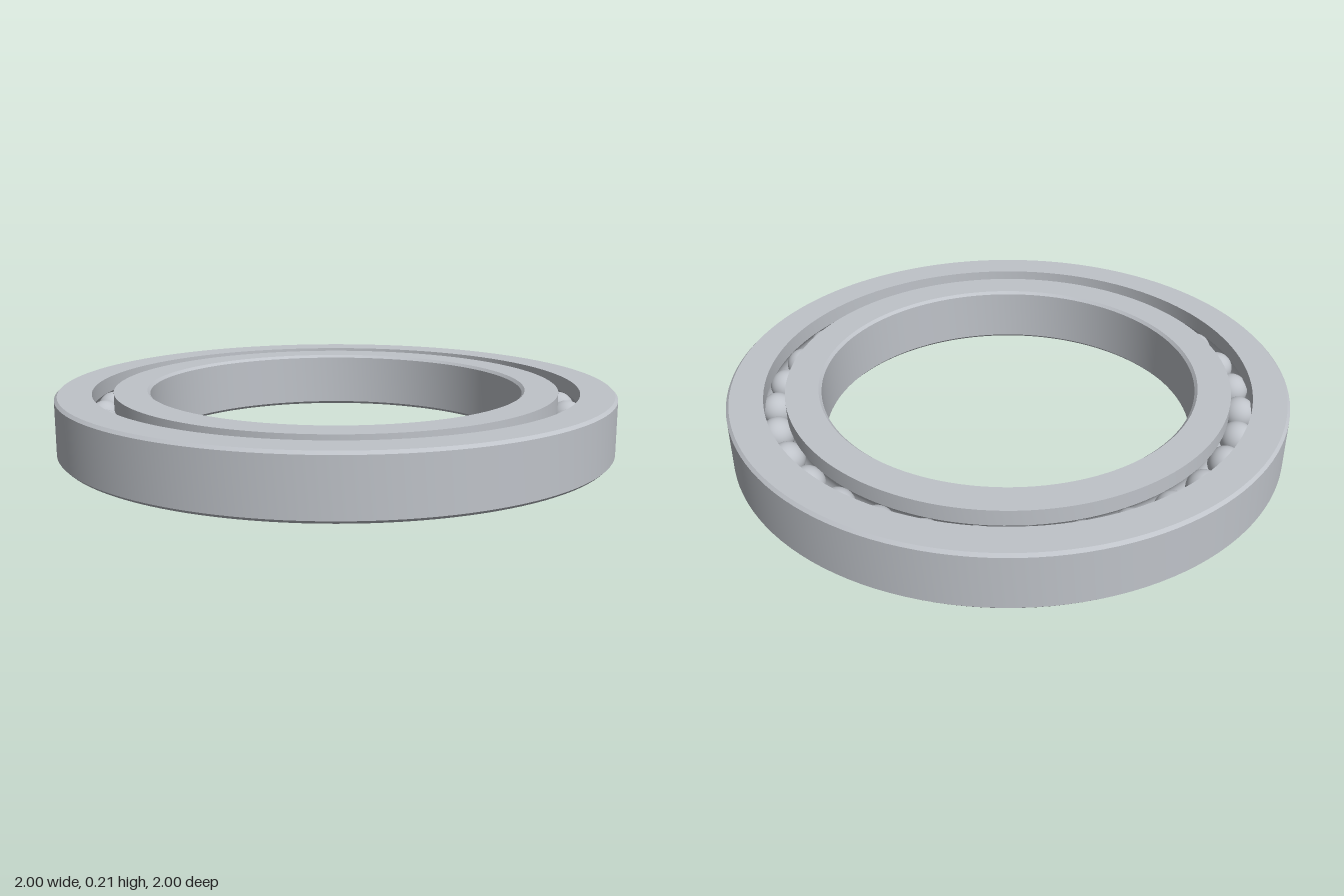
import * as THREE from 'three';
import { toCreasedNormals } from 'three/addons/utils/BufferGeometryUtils.js';

const HEIGHT = 0.21, MID = HEIGHT / 2, CHAMFER = 0.01;
const OUTER = 1, BORE = 0.67;
const GAP_IN = 0.797, GAP_OUT = 0.872;
const BALLS = 32, PITCH = (GAP_IN + GAP_OUT) / 2, BALL_R = 0.06;
const GROOVE_R = BALL_R + 0.001;

// Circular raceway cut into a ring wall; side is +1 (outer ring) or -1 (inner ring).
// Points run upward for the inner ring and downward for the outer ring.
function raceway(wall, side) {
  const half = Math.acos(Math.abs(wall - PITCH) / GROOVE_R);
  const points = [];
  for (let i = 0; i <= 10; i++) {
    const a = half * (1 - i / 5);
    points.push([PITCH + side * GROOVE_R * Math.cos(a), MID + side * GROOVE_R * Math.sin(a)]);
  }
  return points;
}

function ring(name, profile, material) {
  const points = [...profile, profile[0]].map(([x, y]) => new THREE.Vector2(x, y));
  const geometry = toCreasedNormals(new THREE.LatheGeometry(points, 128), Math.PI / 6);
  const mesh = new THREE.Mesh(geometry, material);
  mesh.name = name;
  return mesh;
}

export function createModel() {
  const group = new THREE.Group();
  group.name = 'ballBearing';
  const steel = new THREE.MeshStandardMaterial({ color: 0xbfc3c9 });
  steel.name = 'steel';

  // Outer ring, chamfered on its outside edges
  group.add(ring('outerRing', [
    [GAP_OUT, 0], [OUTER - CHAMFER, 0], [OUTER, CHAMFER],
    [OUTER, HEIGHT - CHAMFER], [OUTER - CHAMFER, HEIGHT], [GAP_OUT, HEIGHT],
    ...raceway(GAP_OUT, 1),
  ], steel));

  // Inner ring, chamfered on its bore edges
  group.add(ring('innerRing', [
    [BORE + CHAMFER, 0], [GAP_IN, 0],
    ...raceway(GAP_IN, -1),
    [GAP_IN, HEIGHT], [BORE + CHAMFER, HEIGHT],
    [BORE, HEIGHT - CHAMFER], [BORE, CHAMFER],
  ], steel));

  // Balls spaced evenly round the raceway
  const balls = new THREE.Group();
  balls.name = 'balls';
  const ballGeometry = new THREE.SphereGeometry(BALL_R, 32, 20);
  for (let i = 0; i < BALLS; i++) {
    const a = (i / BALLS) * Math.PI * 2;
    const ball = new THREE.Mesh(ballGeometry, steel);
    ball.name = 'ball';
    ball.position.set(PITCH * Math.cos(a), MID, PITCH * Math.sin(a));
    balls.add(ball);
  }
  group.add(balls);
  return group;
}
